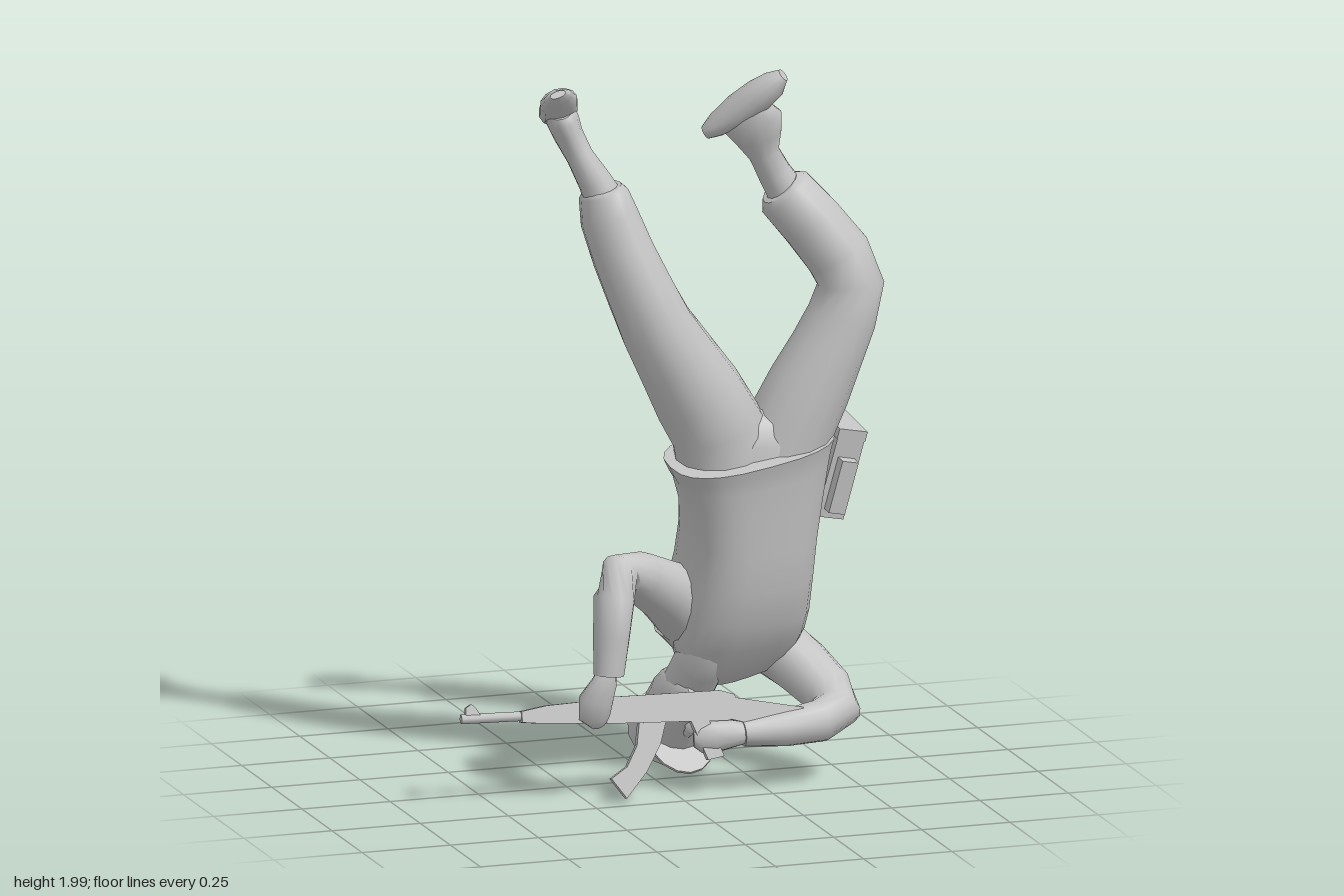
import * as THREE from 'three';

const grey = new THREE.MeshStandardMaterial({ color: 0xc4c4c4 });
grey.name = 'grey';

// Lofts rings [x, y, z, radius along ref, other radius] along a path; power below 1 squares the rings.
function loft(name, rings, ref = [1, 0, 0], sides = 14, power = 1) {
  const centres = rings.map(r => new THREE.Vector3(r[0], r[1], r[2]));
  const A = new THREE.Vector3(...ref), pos = [], idx = [];
  const last = rings.length - 1;
  const bend = c => Math.sign(c) * Math.abs(c) ** power;
  rings.forEach((r, i) => {
    const T = centres[Math.min(i + 1, last)].clone().sub(centres[Math.max(i - 1, 0)]).normalize();
    const u = A.clone().addScaledVector(T, -A.dot(T)).normalize();
    const v = T.clone().cross(u);
    for (let j = 0; j < sides; j++) {
      const a = j / sides * Math.PI * 2;
      const p = centres[i].clone().addScaledVector(u, bend(Math.cos(a)) * r[3])
        .addScaledVector(v, bend(Math.sin(a)) * (r[4] ?? r[3]));
      pos.push(p.x, p.y, p.z);
      if (i < last) {
        const a0 = i * sides + j, a1 = i * sides + (j + 1) % sides;
        idx.push(a0, a1, a1 + sides, a0, a1 + sides, a0 + sides);
      }
    }
  });
  // flat end caps with their own vertices
  for (const [i, flip] of [[0, true], [last, false]]) {
    const start = pos.length / 3;
    pos.push(...pos.slice(i * sides * 3, (i + 1) * sides * 3), ...centres[i].toArray());
    for (let j = 0; j < sides; j++) {
      const a = start + j, b = start + (j + 1) % sides;
      idx.push(...(flip ? [b, a] : [a, b]), start + sides);
    }
  }
  const g = new THREE.BufferGeometry();
  g.setAttribute('position', new THREE.Float32BufferAttribute(pos, 3));
  g.setIndex(idx);
  g.computeVertexNormals();
  return mesh(name, g);
}

function mesh(name, geometry, x = 0, y = 0, z = 0) {
  const m = new THREE.Mesh(geometry, grey);
  m.name = name;
  m.position.set(x, y, z);
  return m;
}

const box = (name, w, h, d, x, y, z) => mesh(name, new THREE.BoxGeometry(w, h, d), x, y, z);

// Outline in x/y extruded evenly about z = 0.
function plate(name, pts, depth) {
  const s = new THREE.Shape(pts.map(p => new THREE.Vector2(...p)));
  const g = new THREE.ExtrudeGeometry(s, { depth, bevelEnabled: false });
  return mesh(name, g.translate(0, 0, -depth / 2));
}

function makeHead() {
  const head = new THREE.Group();
  head.name = 'head';
  head.add(loft('skull', [
    [0, -0.165, 0.06, 0.025, 0.025], [0, -0.145, 0.05, 0.05, 0.055], [0, -0.095, 0.02, 0.072, 0.085],
    [0, -0.03, 0, 0.083, 0.1], [0, 0.03, 0, 0.09, 0.105], [0, 0.07, 0, 0.092, 0.106]], [1, 0, 0], 16));
  head.add(loft('nose', [[0, 0.01, 0.09, 0.01, 0.01], [0, -0.04, 0.105, 0.018, 0.018], [0, -0.05, 0.09, 0.014, 0.014]], [1, 0, 0], 6));
  head.add(mesh('capBand', new THREE.CylinderGeometry(0.114, 0.108, 0.065, 16), 0, 0.09, 0));
  // crescent visor
  const s = new THREE.Shape();
  s.moveTo(-0.1, 0.04);
  s.bezierCurveTo(-0.09, 0.23, 0.09, 0.23, 0.1, 0.04);
  s.closePath();
  const visor = new THREE.ExtrudeGeometry(s, { depth: 0.008, bevelEnabled: false, curveSegments: 8 });
  visor.rotateX(Math.PI / 2);
  head.add(mesh('capVisor', visor, 0, 0.062, 0));
  const up = new THREE.Vector3(0, -0.75, -0.66).normalize();
  const fwd = new THREE.Vector3(0, -0.66, 0.75).normalize();
  head.quaternion.setFromRotationMatrix(new THREE.Matrix4().makeBasis(up.clone().cross(fwd), up, fwd));
  head.position.set(0.107, 0.176, -0.118);
  return head;
}

function makeRifle() {
  const gun = new THREE.Group();
  gun.name = 'rifle';
  const barrel = mesh('barrel', new THREE.CylinderGeometry(0.013, 0.013, 0.24, 8), -0.475, -0.005, 0);
  barrel.rotation.z = Math.PI / 2;
  gun.add(barrel);
  gun.add(plate('frontSight', [[-0.582, 0], [-0.54, 0], [-0.555, 0.025], [-0.566, 0.034], [-0.582, 0.024]], 0.016));
  gun.add(plate('handguard', [[-0.43, -0.022], [-0.39, -0.026], [-0.18, -0.037], [-0.18, 0.03], [-0.36, 0.02], [-0.43, 0.008]], 0.036));
  gun.add(plate('receiver', [[-0.2, -0.037], [0.14, -0.045], [0.18, -0.03], [0.16, 0.025], [0.12, 0.037], [-0.2, 0.034]], 0.032));
  gun.add(plate('stock', [[0.14, -0.04], [0.34, -0.095], [0.35, -0.02], [0.15, 0.018]], 0.03));
  gun.add(plate('magazine', [[-0.105, -0.035], [-0.115, -0.1], [-0.145, -0.155], [-0.19, -0.185],
    [-0.15, -0.24], [-0.09, -0.17], [-0.05, -0.1], [-0.03, -0.035]], 0.024));
  gun.add(plate('pistolGrip', [[0.035, -0.035], [0.085, -0.035], [0.125, -0.14], [0.08, -0.148]], 0.026));
  gun.position.set(0, 0.252, 0.172);
  gun.rotation.set(-0.25, -0.07, -0.03);
  return gun;
}

function makePouch() {
  const pouch = new THREE.Group();
  pouch.name = 'hipPouch';
  pouch.add(box('pouchBody', 0.08, 0.25, 0.165, 0, 0, 0));
  pouch.add(box('pouchLid', 0.084, 0.03, 0.168, 0, 0.115, 0));
  for (const side of [1, -1]) pouch.add(box('pouchSidePocket', 0.048, 0.15, 0.04, 0, -0.025, side * 0.095));
  pouch.position.set(0.498, 0.84, -0.005);
  pouch.rotation.set(0.15, 0.06, -0.22);
  return pouch;
}

export function createModel() {
  const model = new THREE.Group();
  model.name = 'upsideDownFigure';

  // jacket, from the flared hem to the shoulders
  model.add(loft('jacket', [
    [0.222, 0.945, 0.132, 0.235, 0.145], [0.226, 0.915, 0.126, 0.224, 0.14], [0.231, 0.88, 0.118, 0.212, 0.139],
    [0.237, 0.8, 0.1, 0.193, 0.145], [0.238, 0.7, 0.074, 0.18, 0.158], [0.235, 0.6, 0.048, 0.178, 0.17],
    [0.228, 0.5, 0.018, 0.186, 0.168], [0.227, 0.42, -0.002, 0.185, 0.145], [0.238, 0.35, -0.025, 0.165, 0.11],
    [0.25, 0.3, -0.045, 0.125, 0.078], [0.255, 0.275, -0.05, 0.075, 0.045]], [1, 0, -0.12], 24, 0.74));
  model.add(loft('shoulderYoke', [
    [0.07, 0.47, -0.025, 0.085], [0.13, 0.425, -0.045, 0.1], [0.22, 0.385, -0.058, 0.093],
    [0.3, 0.365, -0.06, 0.09], [0.37, 0.345, -0.045, 0.08]], [0, 1, 0]));
  model.add(loft('neck', [[0.13, 0.42, 0.09, 0.03, 0.03], [0.128, 0.385, 0.06, 0.06, 0.065],
    [0.125, 0.33, 0.01, 0.07, 0.075], [0.11, 0.22, -0.08, 0.07, 0.075]]));

  // trouser seat and legs
  model.add(loft('trouserSeat', [[0.235, 0.86, 0.12, 0.19, 0.11], [0.238, 0.96, 0.12, 0.17, 0.112],
    [0.24, 1.02, 0.12, 0.1, 0.09], [0.24, 1.05, 0.12, 0.035, 0.045]]));
  model.add(loft('rightTrouserLeg', [
    [0.16, 0.86, 0.12, 0.13, 0.115], [0.135, 1.0, 0.125, 0.13, 0.122], [0.075, 1.1, 0.135, 0.125, 0.122],
    [0.015, 1.2, 0.14, 0.112, 0.115], [-0.045, 1.3, 0.145, 0.1, 0.108], [-0.09, 1.4, 0.14, 0.092, 0.1],
    [-0.13, 1.5, 0.12, 0.085, 0.095], [-0.163, 1.6, 0.1, 0.079, 0.09], [-0.176, 1.665, 0.09, 0.066, 0.085],
    [-0.18, 1.682, 0.09, 0.052, 0.06]]));
  model.add(loft('leftTrouserLeg', [
    [0.3, 0.86, 0.12, 0.13, 0.115], [0.345, 1.0, 0.125, 0.118, 0.122], [0.39, 1.1, 0.14, 0.113, 0.115],
    [0.437, 1.2, 0.15, 0.1, 0.108], [0.475, 1.29, 0.16, 0.093, 0.1], [0.5, 1.38, 0.16, 0.09, 0.098],
    [0.468, 1.46, 0.15, 0.09, 0.095], [0.4, 1.55, 0.13, 0.086, 0.09], [0.332, 1.63, 0.11, 0.082, 0.083],
    [0.316, 1.648, 0.11, 0.058, 0.06]]));

  // bare ankles widening into the feet
  const rightToe = [-0.08, 0.1, 0.24], leftToe = [-0.16, -0.15, -0.11];
  model.add(loft('rightAnkle', [[-0.17, 1.64, 0.09, 0.055], [-0.2, 1.7, 0.09, 0.05, 0.046],
    [-0.238, 1.77, 0.075, 0.046, 0.037], [-0.262, 1.825, 0.052, 0.066, 0.04], [-0.278, 1.87, 0.045, 0.082, 0.045],
    [-0.288, 1.9, 0.05, 0.065, 0.04]], rightToe));
  model.add(loft('leftAnkle', [[0.35, 1.61, 0.105, 0.055], [0.3, 1.69, 0.112, 0.046],
    [0.267, 1.75, 0.122, 0.043, 0.037], [0.247, 1.8, 0.132, 0.066, 0.042], [0.227, 1.845, 0.142, 0.085, 0.046],
    [0.208, 1.88, 0.147, 0.065, 0.036]], leftToe));
  model.add(loft('rightFoot', [[-0.255, 1.862, -0.055, 0.035, 0.025], [-0.268, 1.872, -0.03, 0.05, 0.04],
    [-0.285, 1.9, 0.04, 0.052, 0.046], [-0.31, 1.935, 0.11, 0.052, 0.036], [-0.33, 1.962, 0.165, 0.04, 0.02],
    [-0.338, 1.975, 0.185, 0.022, 0.01]], [1, 0.2, 0], 12));
  model.add(loft('leftFoot', [[0.115, 1.81, 0.085, 0.018, 0.025], [0.14, 1.832, 0.1, 0.03, 0.042],
    [0.19, 1.878, 0.135, 0.044, 0.047], [0.235, 1.922, 0.168, 0.045, 0.045], [0.27, 1.957, 0.195, 0.037, 0.038],
    [0.293, 1.983, 0.207, 0.016, 0.025]], [1, -1, 0], 12));

  // sleeves
  model.add(loft('rightSleeve', [
    [0.17, 0.43, -0.035, 0.11, 0.105], [0.085, 0.488, 0.002, 0.105, 0.1], [0, 0.55, 0.06, 0.082, 0.083],
    [-0.09, 0.608, 0.13, 0.069, 0.068], [-0.155, 0.628, 0.175, 0.064, 0.062], [-0.182, 0.57, 0.195, 0.056, 0.056],
    [-0.193, 0.47, 0.205, 0.05, 0.05], [-0.202, 0.365, 0.21, 0.042, 0.042]], [0.5, 1, 0]));
  model.add(loft('leftSleeve', [
    [0.27, 0.4, -0.05, 0.085, 0.085], [0.345, 0.35, -0.045, 0.088, 0.085], [0.407, 0.295, 0.03, 0.08, 0.079],
    [0.449, 0.245, 0.11, 0.072, 0.072], [0.458, 0.207, 0.165, 0.066, 0.066], [0.4, 0.185, 0.195, 0.058, 0.057],
    [0.3, 0.175, 0.202, 0.05, 0.05], [0.18, 0.17, 0.2, 0.036, 0.038]], [0, 1, 0.3]));

  // hands gripping the rifle
  model.add(loft('rightHand', [[-0.207, 0.38, 0.21, 0.026], [-0.215, 0.345, 0.212, 0.036, 0.03],
    [-0.235, 0.295, 0.2, 0.05, 0.035], [-0.235, 0.25, 0.19, 0.045, 0.034], [-0.22, 0.225, 0.18, 0.025, 0.02]], [1, 0, 0], 10));
  model.add(loft('leftHand', [[0.2, 0.17, 0.2, 0.028], [0.15, 0.17, 0.2, 0.038, 0.032],
    [0.1, 0.165, 0.198, 0.045, 0.032], [0.065, 0.16, 0.195, 0.038, 0.026], [0.045, 0.16, 0.19, 0.02, 0.016]], [0, 1, 0], 10));

  model.add(makeHead(), makeRifle(), makePouch());
  return model;
}
